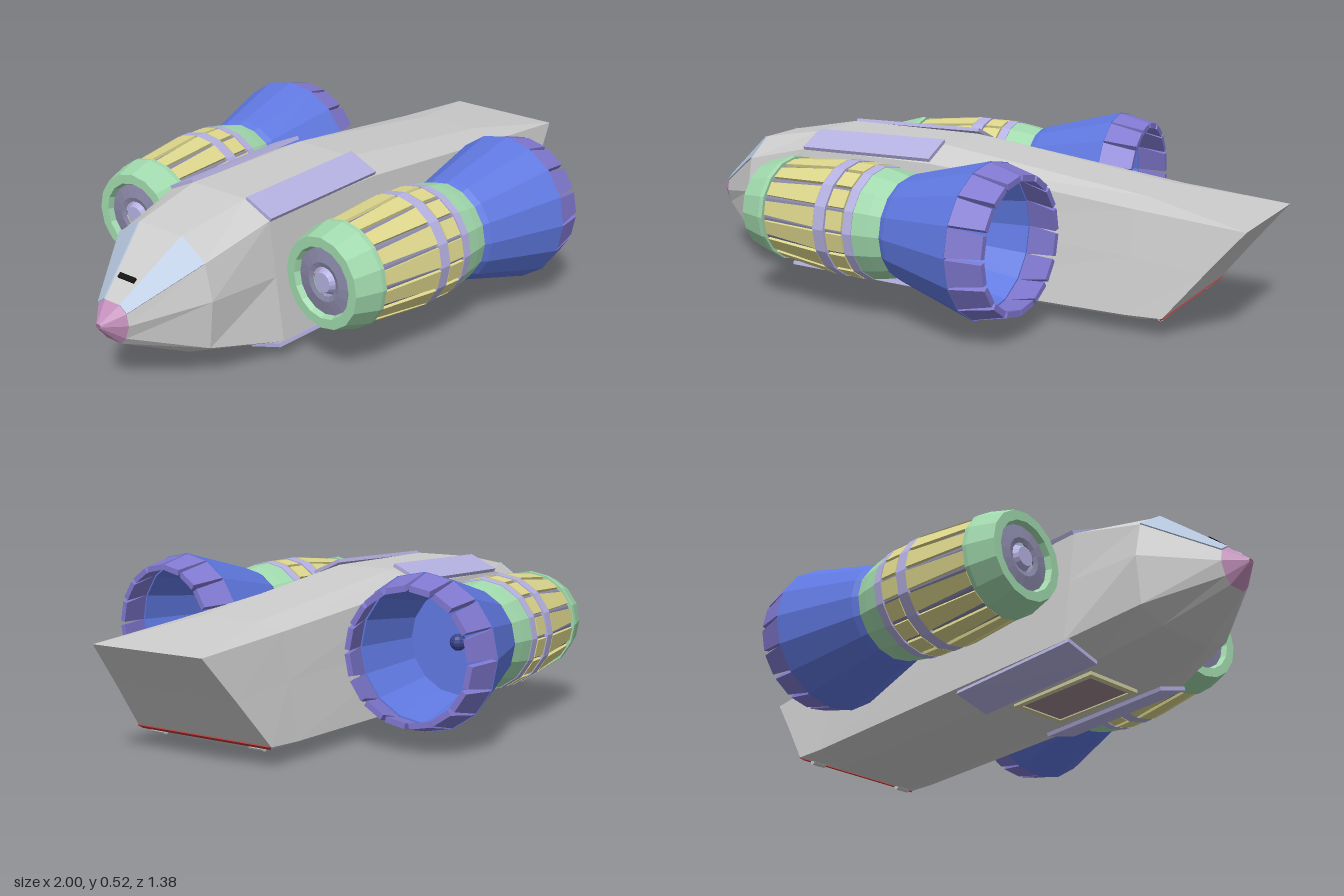
import * as THREE from 'three';

const mat = (color) => new THREE.MeshStandardMaterial({ color, flatShading: true, side: THREE.DoubleSide });
const grey = mat(0xcccccc), lavender = mat(0xb4b0e0), green = mat(0xa0d8ac), yellow = mat(0xdcd68c);
const blue = mat(0x5f78e0), purple = mat(0x8078d0), steel = mat(0x8a88a8), pink = mat(0xc490bc);
const glass = mat(0xb4c4dc), black = mat(0x101010), red = mat(0xb03a3a), bayFrame = mat(0xd0cca0);
const bayDoor = mat(0x9c848e), darkBlue = mat(0x38448c);

function add(parent, name, geometry, material) {
  const mesh = new THREE.Mesh(geometry, material);
  mesh.name = name;
  parent.add(mesh);
  return mesh;
}

function meshFrom(points, index) {
  const g = new THREE.BufferGeometry();
  g.setAttribute('position', new THREE.Float32BufferAttribute(points.flat(), 3));
  g.setIndex(index);
  g.computeVertexNormals();
  return g;
}

// Thin plate: four corners, raised by h along the direction up
function slab(c, h, up) {
  const raised = c.map((p) => p.map((v, i) => v + up[i] * h));
  const index = [4, 5, 6, 4, 6, 7, 0, 2, 1, 0, 3, 2];
  for (let i = 0; i < 4; i++) {
    const j = (i + 1) % 4;
    index.push(i, j, j + 4, i, j + 4, i + 4);
  }
  return meshFrom([...c, ...raised], index);
}

// Skin over half cross-sections [[x, y, z] x5, top to bottom], mirrored in z
function loft(sections, capEnd) {
  const rings = sections.map((s) => [...s, ...s.map(([x, y, z]) => [x, y, -z]).reverse()]);
  const n = rings[0].length, index = [];
  for (let r = 0; r < rings.length - 1; r++) {
    for (let i = 0; i < n; i++) {
      const a = r * n + i, b = r * n + (i + 1) % n;
      index.push(a, a + n, b, b, a + n, b + n);
    }
  }
  if (capEnd) {
    const o = (rings.length - 1) * n;
    for (let i = 0; i < n / 2 - 1; i++) {
      const a = o + i, b = a + 1, c = o + n - 2 - i, d = c + 1;
      index.push(a, d, b, b, d, c);
    }
  }
  return meshFrom(rings.flat(), index);
}

// Revolved engine shell along x from [x, radius] points
function shell(points, sides = 16) {
  const g = new THREE.LatheGeometry(points.map(([x, r]) => new THREE.Vector2(r, x)), sides);
  return g.rotateZ(-Math.PI / 2);
}

// Ring of flat staves around the engine axis
function staves(parent, name, material, [x0, r0], [x1, r1], thick, fill0, fill1) {
  const n = 16, half = Math.PI / n;
  for (let i = 0; i < n; i++) {
    const a = (i + 0.5) * 2 * half, c = Math.cos(a), s = Math.sin(a);
    const corner = (x, r, k) => {
      const d = r * Math.cos(half), t = r * Math.sin(half) * k;
      return [x, d * c - t * s, d * s + t * c];
    };
    const corners = [corner(x0, r0, -fill0), corner(x1, r1, -fill1), corner(x1, r1, fill1), corner(x0, r0, fill0)];
    add(parent, name, slab(corners, thick, [0, c, s]), material);
  }
}

function makeEngine() {
  const e = new THREE.Group();
  e.name = 'engine';
  // Intake
  add(e, 'intakeRing', shell([[-0.47, 0.095], [-0.505, 0.11], [-0.505, 0.14], [-0.42, 0.164], [-0.405, 0.164], [-0.405, 0.14]]), green);
  add(e, 'intakeFace', shell([[-0.49, 0.045], [-0.495, 0.06], [-0.485, 0.115]]), steel);
  add(e, 'intakeHub', shell([[-0.5, 0], [-0.5, 0.03], [-0.47, 0.045], [-0.47, 0.06]]), lavender);
  // Body core with slats and bands
  add(e, 'core', shell([[-0.42, 0.15], [-0.2, 0.17], [-0.04, 0.168]]), steel);
  staves(e, 'longSlat', yellow, [-0.4, 0.15], [-0.19, 0.171], 0.01, 0.72, 0.86);
  add(e, 'frontBand', shell([[-0.19, 0.165], [-0.19, 0.18], [-0.15, 0.18], [-0.15, 0.165]]), lavender);
  staves(e, 'shortSlat', yellow, [-0.145, 0.168], [-0.085, 0.168], 0.01, 0.85, 0.85);
  add(e, 'rearBand', shell([[-0.08, 0.165], [-0.08, 0.177], [-0.05, 0.174], [-0.05, 0.16]]), lavender);
  add(e, 'collar', shell([[-0.05, 0.172], [0, 0.164], [0.04, 0.155], [0.04, 0.14]]), green);
  // Nozzle
  add(e, 'nozzle', shell([[0.035, 0.14], [0.035, 0.153], [0.06, 0.165], [0.325, 0.235], [0.325, 0.21]]), blue);
  add(e, 'nozzleLiner', shell([[0.1, 0], [0.1, 0.165], [0.325, 0.21]]), blue);
  add(e, 'exhaustBall', new THREE.SphereGeometry(0.026, 10, 8).translate(0.11, 0, 0), darkBlue);
  staves(e, 'petal', purple, [0.325, 0.215], [0.43, 0.19], 0.018, 1, 0.88);
  return e;
}

export function createModel() {
  const model = new THREE.Group();
  model.name = 'spacecraft';

  // Hull sections: x, then [y, half width] from roof edge to belly edge
  const at = (x, ...pts) => pts.map(([y, w]) => [x, y, w]);
  const tip = at(-1, [0.222, 0.004], [0.22, 0.008], [0.215, 0.01], [0.21, 0.008], [0.208, 0.004]);
  const nose = at(-0.945, [0.27, 0.03], [0.25, 0.058], [0.215, 0.065], [0.172, 0.05], [0.15, 0.03]);
  const brow = at(-0.75, [0.43, 0.085], [0.37, 0.175], [0.26, 0.2], [0.11, 0.185], [0.07, 0.1]);
  const front = at(-0.51, [0.475, 0.105], [0.43, 0.2], [0.26, 0.223], [0.06, 0.25], [0.025, 0.14]);
  const middle = at(-0.03, [0.475, 0.105], [0.43, 0.2], [0.26, 0.223], [0.06, 0.25], [0.02, 0.15]);
  const aft = at(0.66, [0.387, 0.105], [0.367, 0.2], [0.23, 0.223], [0.06, 0.25], [0.02, 0.15]);
  const stern = [[1, 0.34, 0.2], [1, 0.34, 0.2], [0.89, 0.208, 0.224], [0.775, 0.065, 0.25], [0.67, 0.02, 0.15]];
  add(model, 'hull', loft([nose, brow, front, middle, aft, stern], true), grey);
  add(model, 'noseTip', loft([tip, nose], false), pink);

  for (const s of [1, -1]) {
    const side = s > 0 ? 'left' : 'right';
    const m = (pts) => pts.map(([x, y, z]) => [x, y, z * s]);
    // Cockpit panes on the nose bevels
    add(model, side + 'Window', slab(m([nose[0], brow[0], brow[1], nose[1]]), 0.004, [-0.4, 0.7, 0.6 * s]), glass);
    // Flaps hinged at the front, slightly open at the back
    add(model, side + 'UpperFlap', slab(m([[-0.51, 0.472, 0.107], [-0.03, 0.482, 0.107], [-0.03, 0.437, 0.206], [-0.51, 0.428, 0.202]]),
      0.012, [0, 0.9, 0.42 * s]), lavender);
    add(model, side + 'LowerFlap', slab(m([[-0.53, 0.025, 0.135], [-0.05, 0.016, 0.13], [-0.05, 0.05, 0.252], [-0.53, 0.06, 0.25]]),
      0.012, [0, -0.95, 0.3 * s]), lavender);
    // Tail lamps
    const lamp = add(model, side + 'TailLamp', new THREE.CylinderGeometry(0.011, 0.011, 0.05, 10).rotateX(Math.PI / 2), grey);
    lamp.position.set(0.755, 0.055, 0.185 * s);
    // Engines, toed out toward the rear
    const engine = makeEngine();
    engine.name = side + 'Engine';
    engine.position.set(0, 0.287, 0.43 * s);
    engine.rotation.y = -0.082 * s;
    model.add(engine);
  }

  // Tail light strip
  add(model, 'tailStrip', slab([[0.779, 0.068, 0.248], [0.765, 0.058, 0.24], [0.765, 0.058, -0.24], [0.779, 0.068, -0.248]],
    0.004, [0.6, -0.7, 0]), red);
  // Nose slot
  const slot = add(model, 'noseSlot', new THREE.BoxGeometry(0.016, 0.008, 0.064), black);
  slot.position.set(-0.885, 0.323, 0);
  slot.rotation.z = 0.69;
  // Belly bay: frame and door
  const outline = new THREE.Shape([[-0.47, -0.1], [-0.14, -0.1], [-0.14, 0.1], [-0.47, 0.1]].map((p) => new THREE.Vector2(...p)));
  outline.holes.push(new THREE.Path([[-0.45, -0.082], [-0.45, 0.082], [-0.16, 0.082], [-0.16, -0.082]].map((p) => new THREE.Vector2(...p))));
  const frame = add(model, 'bayFrame', new THREE.ExtrudeGeometry(outline, { depth: 0.012, bevelEnabled: false }).rotateX(Math.PI / 2), bayFrame);
  frame.position.y = 0.025;
  add(model, 'bayDoor', new THREE.BoxGeometry(0.29, 0.008, 0.164), bayDoor).position.set(-0.305, 0.021, 0);
  return model;
}
